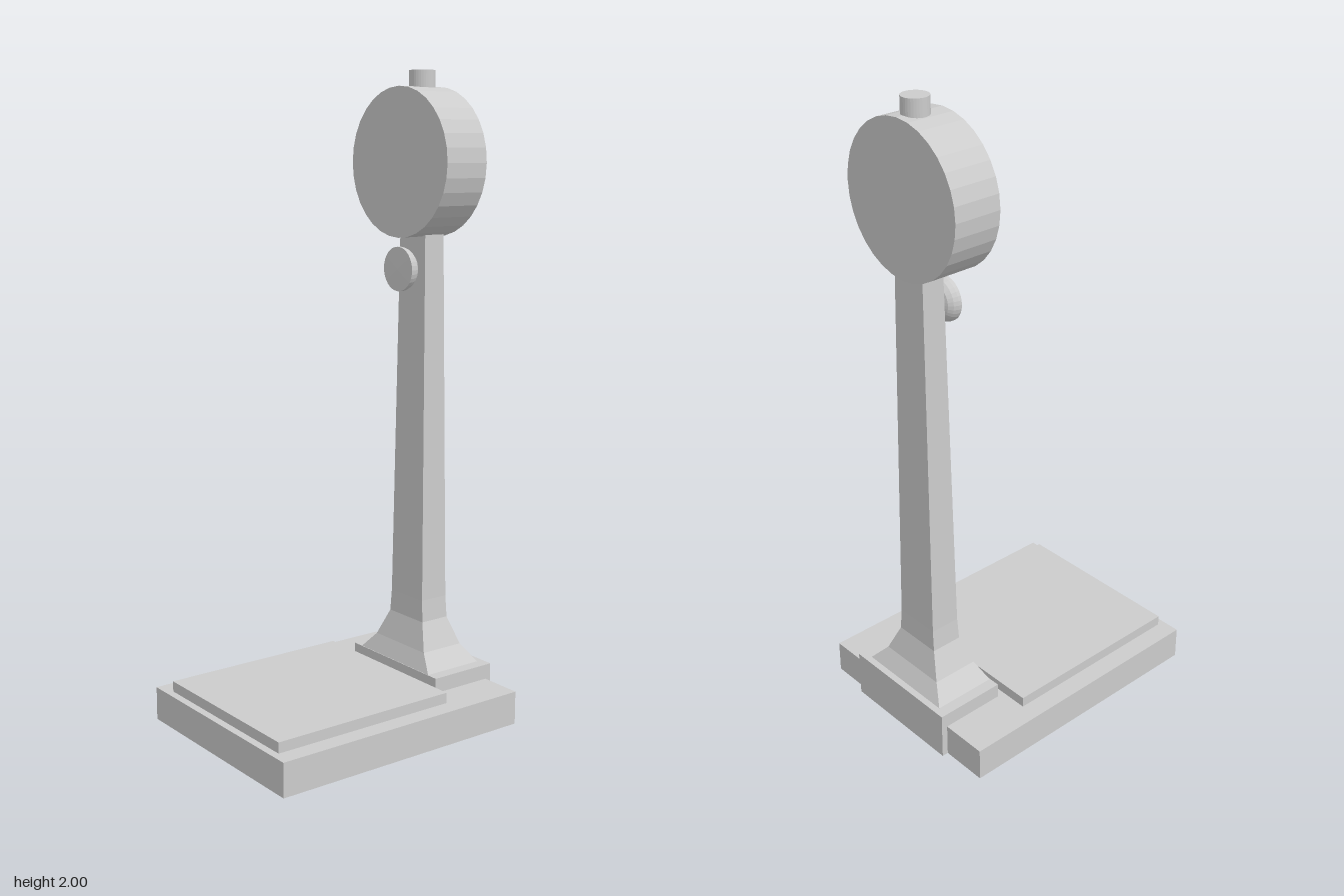
import * as THREE from 'three';

const material = new THREE.MeshStandardMaterial({ color: 0xcccccc, flatShading: true });

export function createModel() {
  const model = new THREE.Group();

  function add(name, geometry, x = 0, y = 0, z = 0) {
    const mesh = new THREE.Mesh(geometry, material);
    mesh.name = name;
    mesh.position.set(x, y, z);
    model.add(mesh);
    return mesh;
  }

  // box given by its limits on each axis
  function slab(name, [x0, x1], [y0, y1], [z0, z1]) {
    add(name, new THREE.BoxGeometry(x1 - x0, y1 - y0, z1 - z0),
      (x0 + x1) / 2, (y0 + y1) / 2, (z0 + z1) / 2);
  }

  // rectangular loft: rows of [y, half width, back z, front z]
  function loft(rows) {
    const points = [], index = [];
    for (const [y, w, back, front] of rows) {
      points.push(-w, y, front, w, y, front, w, y, back, -w, y, back);
    }
    for (let r = 0; r < rows.length - 1; r++) {
      for (let i = 0; i < 4; i++) {
        const a = r * 4 + i, b = r * 4 + (i + 1) % 4;
        index.push(a, b, b + 4, a, b + 4, a + 4);
      }
    }
    const t = (rows.length - 1) * 4;
    index.push(0, 2, 1, 0, 3, 2, t, t + 1, t + 2, t, t + 2, t + 3);
    const geometry = new THREE.BufferGeometry();
    geometry.setAttribute('position', new THREE.Float32BufferAttribute(points, 3));
    geometry.setIndex(index);
    const flat = geometry.toNonIndexed();
    flat.computeVertexNormals();
    return flat;
  }

  const cx = 0.005;

  // platform
  slab('base', [-0.35, 0.35], [0, 0.105], [-0.428, 0.448]);
  slab('weighingPlate', [-0.288, 0.292], [0.1, 0.138], [-0.195, 0.424]);
  slab('columnPlinth', [-0.2, 0.212], [0, 0.152], [-0.448, -0.22]);

  // flared foot and tapering column
  add('column', loft([
    [0.15, 0.17, -0.428, -0.221],
    [0.205, 0.119, -0.395, -0.245],
    [0.29, 0.081, -0.371, -0.27],
    [0.36, 0.076, -0.369, -0.272],
    [1.56, 0.059, -0.355, -0.283],
  ]), cx);

  // dial housing
  const dial = add('dialHousing', new THREE.CylinderGeometry(0.226, 0.226, 0.153, 32), cx, 1.726, -0.3);
  dial.rotation.x = Math.PI / 2;
  add('topCap', new THREE.CylinderGeometry(0.04, 0.04, 0.12, 32), cx, 1.94, -0.314);

  // round knob on a short stem
  const knobProfile = [[0, -0.02], [0.012, -0.02], [0.012, 0.01], [0.035, 0.012], [0.052, 0.018],
    [0.063, 0.03], [0.068, 0.044], [0.068, 0.055], [0, 0.058]];
  const knob = add('knob', new THREE.LatheGeometry(
    knobProfile.map(([r, y]) => new THREE.Vector2(r, y)), 32), cx, 1.405, -0.28);
  knob.rotation.x = Math.PI / 2;

  return model;
}
